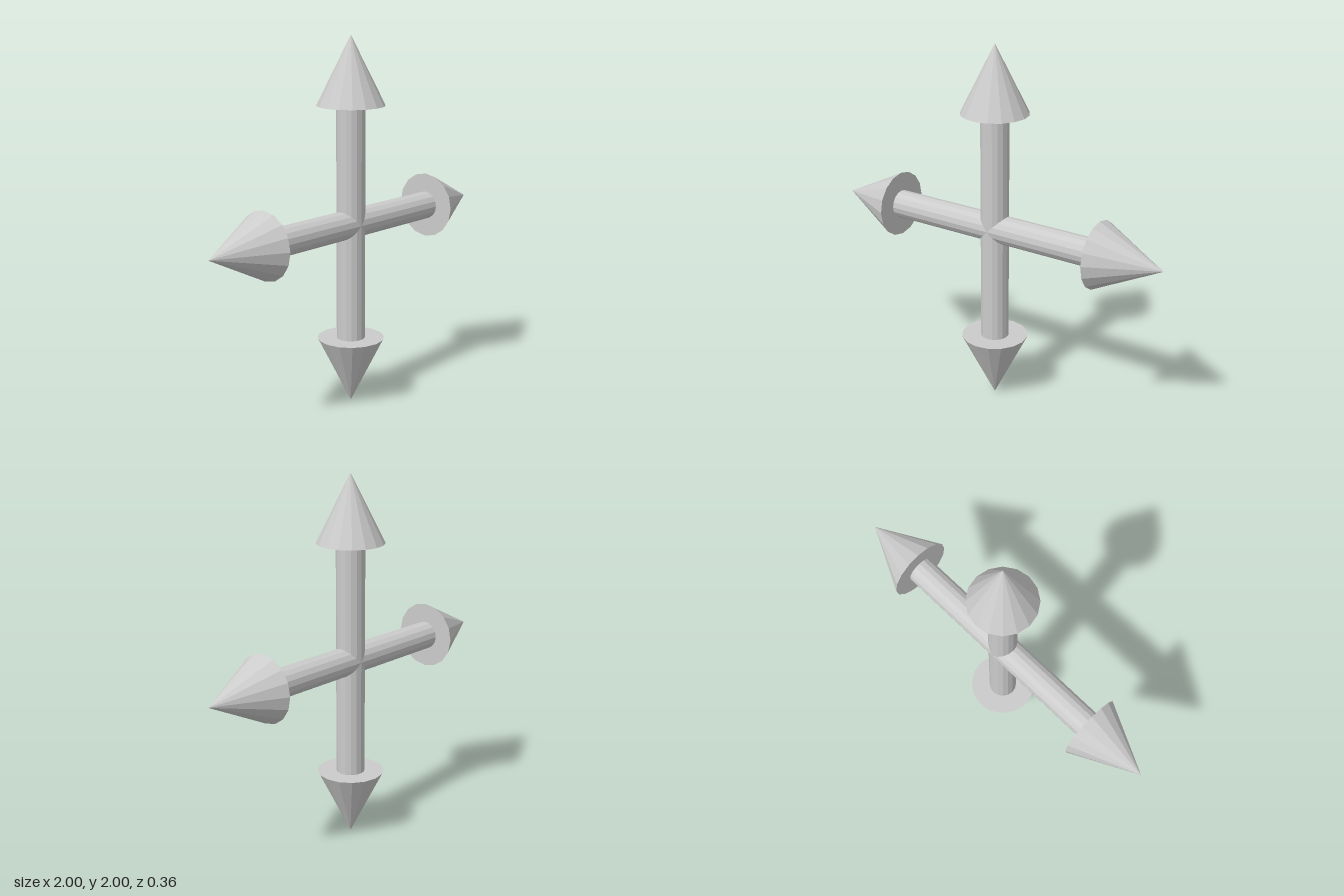
import * as THREE from 'three';

const SIDES = 16;
const CENTER_Y = 1;
const SHAFT_RADIUS = 0.077;
const HEAD_RADIUS = 0.182;
const HEAD_LENGTH = 0.365;
const ARM_LENGTH = 1;

export function createModel() {
  const model = new THREE.Group();
  model.name = 'fourWayArrow';
  const material = new THREE.MeshStandardMaterial({ color: 0xcccccc, flatShading: true });

  const shaftLength = ARM_LENGTH - HEAD_LENGTH;
  const shaftGeometry = new THREE.CylinderGeometry(SHAFT_RADIUS, SHAFT_RADIUS, shaftLength, SIDES, 1, true);
  shaftGeometry.translate(0, shaftLength / 2, 0);
  const headGeometry = new THREE.ConeGeometry(HEAD_RADIUS, HEAD_LENGTH, SIDES);
  headGeometry.translate(0, ARM_LENGTH - HEAD_LENGTH / 2, 0);

  // Four identical arrows fan out from the crossing point
  ['up', 'left', 'down', 'right'].forEach((name, i) => {
    const arrow = new THREE.Group();
    arrow.name = `${name}Arrow`;
    const shaft = new THREE.Mesh(shaftGeometry, material);
    shaft.name = `${name}Shaft`;
    const head = new THREE.Mesh(headGeometry, material);
    head.name = `${name}Head`;
    arrow.add(shaft, head);
    arrow.position.y = CENTER_Y;
    arrow.rotation.z = -i * Math.PI / 2;
    model.add(arrow);
  });

  return model;
}
